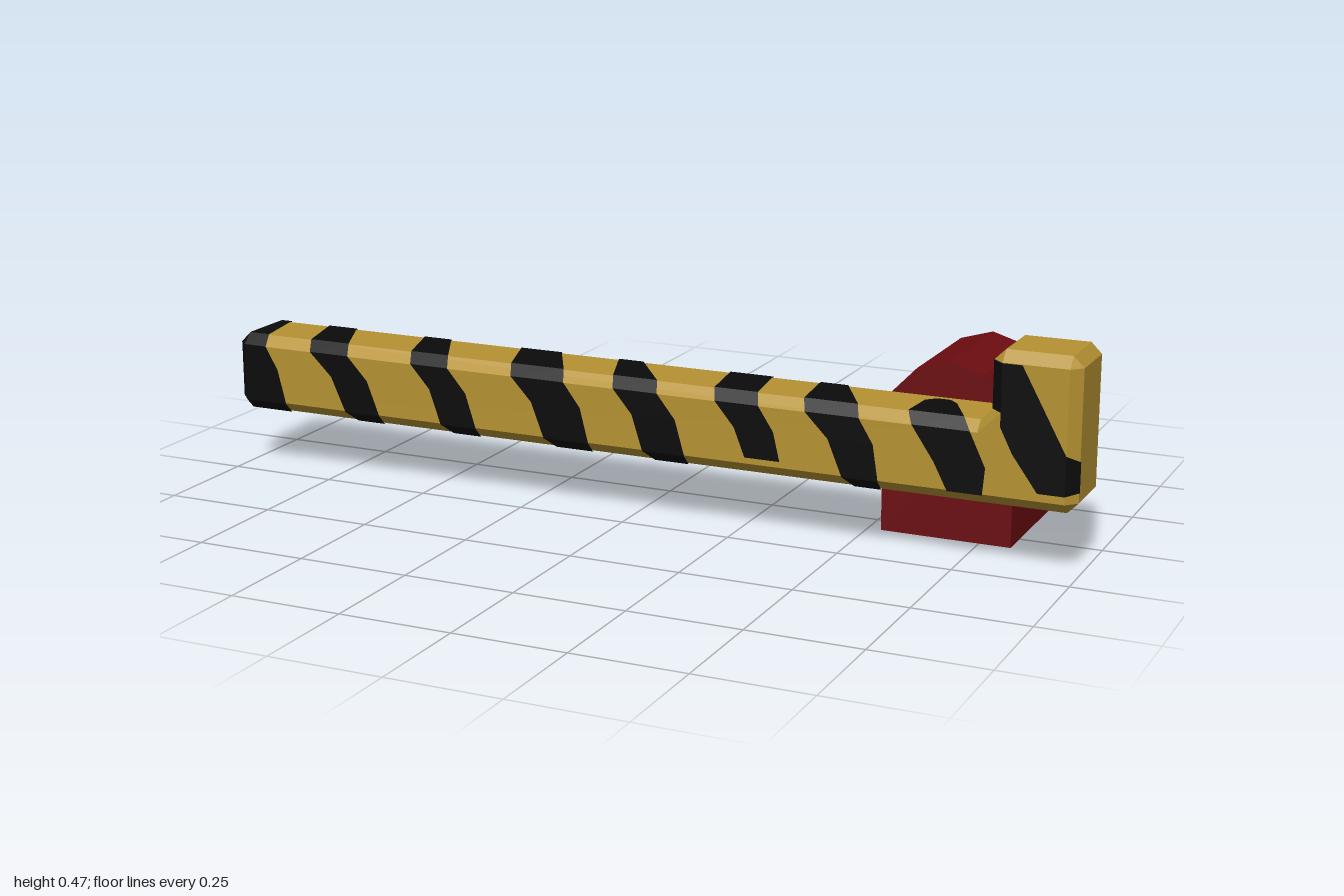
import * as THREE from 'three';

const yellow = new THREE.MeshStandardMaterial({ color: 0xb59232, flatShading: true });
const black = new THREE.MeshStandardMaterial({ color: 0x0b0b0b, side: THREE.DoubleSide });
const red = new THREE.MeshStandardMaterial({ color: 0x6c0d11, flatShading: true });
yellow.name = 'barYellow'; black.name = 'stripeBlack'; red.name = 'bracketRed';

const Z0 = 0.055, Z1 = 0.23, C = 0.023; // bar depth range and chamfer

function fromTriangles(pos) {
  const g = new THREE.BufferGeometry();
  g.setAttribute('position', new THREE.Float32BufferAttribute(pos, 3));
  g.computeVertexNormals();
  return g;
}

// L-shaped bar: flat faces, side walls and chamfers on every edge
function barGeometry() {
  const [L, R, B, M, T, U] = [-1, 1, 0.14, 0.315, 0.467, 0.815];
  // inset face point and wall point, counter-clockwise, two per corner
  const rim = [
    [L + C, B + C, L, B + C], [L + C, B + C, L + C, B],
    [R - C, B + C, R - C, B], [R - C, B + C, R, B + C],
    [R - C, T - C, R, T - C], [R - C, T - C, R - C, T],
    [U + C, T - C, U + C, T], [U + C, T - C, U, T - C],
    [U + C, M + 0.025, U, M + 0.025], [U - 0.025, M - C, U - 0.025, M],
    [L + C, M - C, L + C, M], [L + C, M - C, L, M - C],
  ];
  const pos = [];
  const quad = (a, b, c, d) => pos.push(...a, ...b, ...c, ...a, ...c, ...d);
  rim.forEach((p, i) => {
    const q = rim[(i + 1) % rim.length];
    const ring = (v) => [
      [v[0], v[1], Z1], [v[2], v[3], Z1 - C], [v[2], v[3], Z0 + C], [v[0], v[1], Z0],
    ];
    const a = ring(p), b = ring(q);
    for (let k = 0; k < 3; k++) quad(a[k], a[k + 1], b[k + 1], b[k]);
  });
  const face = [0, 2, 4, 6, 8, 9, 10].map((i) => new THREE.Vector2(rim[i][0], rim[i][1]));
  for (const [a, b, c] of THREE.ShapeUtils.triangulateShape(face, [])) {
    const at = (i, z) => [face[i].x, face[i].y, z];
    pos.push(...at(a, Z1), ...at(b, Z1), ...at(c, Z1));
    pos.push(...at(a, Z0), ...at(c, Z0), ...at(b, Z0));
  }
  return fromTriangles(pos);
}

// Thin painted ribbon through rows of [y, z, xLeft, xRight], lifted off the bar
function ribbon(rows) {
  const lift = (v, mid) => mid + (v - mid) * 1.025;
  const pos = [];
  for (let i = 0; i + 1 < rows.length; i++) {
    const [[y, z, l, r], [y2, z2, l2, r2]] = [rows[i], rows[i + 1]].map(
      ([a, b, c, d]) => [lift(a, 0.2275), lift(b, 0.1425), c, d]);
    pos.push(l, y, z, r, y, z, r2, y2, z2, l, y, z, r2, y2, z2, l2, y2, z2);
  }
  return fromTriangles(pos);
}

// Flat painted patch, fanned from its first corner
function patch(points) {
  const pos = [];
  for (let i = 1; i + 1 < points.length; i++) pos.push(...points[0], ...points[i], ...points[i + 1]);
  return fromTriangles(pos);
}

export function createModel() {
  const model = new THREE.Group();
  const add = (name, geometry, material, parent = model) => {
    const mesh = new THREE.Mesh(geometry, material);
    mesh.name = name;
    parent.add(mesh);
  };

  add('bar', barGeometry(), yellow);

  // Bracket: block with a faceted arched top
  const arch = new THREE.Shape([
    [0.53, 0], [0.82, 0], [0.82, 0.293], [0.748, 0.368],
    [0.675, 0.39], [0.602, 0.368], [0.53, 0.293],
  ].map(([x, y]) => new THREE.Vector2(x, y)));
  const bracket = new THREE.ExtrudeGeometry(arch, { depth: 0.295, bevelEnabled: false });
  add('bracket', bracket.translate(0, 0, -0.23), red);

  // Stripes: left and right x at front bottom, front top, top back, back bottom
  const stripes = new THREE.Group();
  stripes.name = 'stripes';
  model.add(stripes);
  const wraps = [
    [-0.71, -0.62, -0.81, -0.71, -0.845, -0.77, -0.92, -0.825],
    [-0.46, -0.37, -0.545, -0.45, -0.587, -0.517, -0.66, -0.58],
    [-0.2, -0.09, -0.29, -0.16, -0.335, -0.233, -0.41, -0.33],
    [0.04, 0.14, -0.04, 0.065, -0.09, -0.03, -0.15, -0.08],
    [0.28, 0.36, 0.2, 0.3, 0.18, 0.28, 0.11, 0.19],
    [0.5, 0.58, 0.405, 0.525, 0.39, 0.453, 0.345, 0.43],
  ];
  wraps.forEach(([a, b, c, d, e, f, g, h], i) => {
    const short = i === 4; // this one stops above the lower edge
    const rows = [
      [short ? 0.178 : 0.163, Z1, a, b], [0.24, Z1, (a + c) / 2 + 0.015, (b + d) / 2 + 0.015],
      [0.292, Z1, c + 0.01, d + 0.01], [0.315, Z1 - C, c, d],
      [0.315, Z0 + C, e, f], [0.292, Z0, e, f],
      [0.23, Z0, (e + g) / 2 + 0.01, (f + h) / 2 + 0.01], [0.163, Z0, g, h],
    ];
    if (!short) rows.unshift([0.14, Z1 - C, a + 0.02, b]);
    add('wrapStripe', ribbon(rows), black, stripes);
  });
  add('bracketStripe', ribbon([
    [0.163, Z1, 0.73, 0.805], [0.22, Z1, 0.7, 0.81], [0.292, Z1, 0.65, 0.775],
    [0.315, Z1 - C, 0.635, 0.755], [0.315, 0.12, 0.64, 0.71], [0.315, 0.1, 0.66, 0.69],
  ]), black, stripes);

  // Painted tip at the free end
  const E = -1 + C, t = 0.0015;
  add('tipStripe', ribbon([
    [0.14, Z1 - C, E, -0.87], [0.163, Z1, E, -0.87], [0.24, Z1, E, -0.89],
    [0.292, Z1, E, -0.92], [0.315, Z1 - C, E, -0.925], [0.315, Z0 + C, E, -0.95],
    [0.292, Z0, E, -0.955],
  ]), black, stripes);
  add('tipFrontChamfer', patch([
    [E, 0.163, Z1 + t], [E, 0.292, Z1 + t], [-1 - t, 0.292, Z1 - C], [-1 - t, 0.163, Z1 - C],
  ]), black, stripes);
  add('tipTopChamfer', patch([
    [E, 0.315 + t, Z0 + C], [E, 0.315 + t, Z1 - C], [-1 - t, 0.292, Z1 - C], [-1 - t, 0.292, Z0 + C],
  ]), black, stripes);
  for (const [y, y2] of [[0.292, 0.315 + t], [0.163, 0.14 - t]]) {
    add('tipCorner', patch([
      [E, y, Z1 + t], [E, y2, Z1 - C + t], [-1 - t, y, Z1 - C + t],
    ]), black, stripes);
  }
  add('tipEnd', patch([
    [-1 - t, 0.163, 0.207], [-1 - t, 0.292, 0.207], [-1 - t, 0.292, 0.15], [-1 - t, 0.163, 0.19],
  ]), black, stripes);

  // Slanted stripe on the upright, folded over its side chamfers
  const zf = Z1 + t;
  add('uprightStripe', patch([
    [0.88, 0.443, zf], [0.838, 0.443, zf], [0.838, 0.31, zf], [0.865, 0.256, zf],
    [0.92, 0.18, zf], [0.977, 0.18, zf], [0.977, 0.265, zf], [0.93, 0.33, zf],
  ]), black, stripes);
  add('uprightInnerFold', patch([
    [0.838, 0.443, zf], [0.815 - t, 0.443, Z1 - C], [0.815 - t, 0.34, Z1 - C], [0.838, 0.34, zf],
  ]), black, stripes);
  add('uprightOuterFold', patch([
    [0.977, 0.18, zf], [1 + t, 0.185, Z1 - C], [1 + t, 0.25, Z1 - C], [0.977, 0.265, zf],
  ]), black, stripes);

  return model;
}
